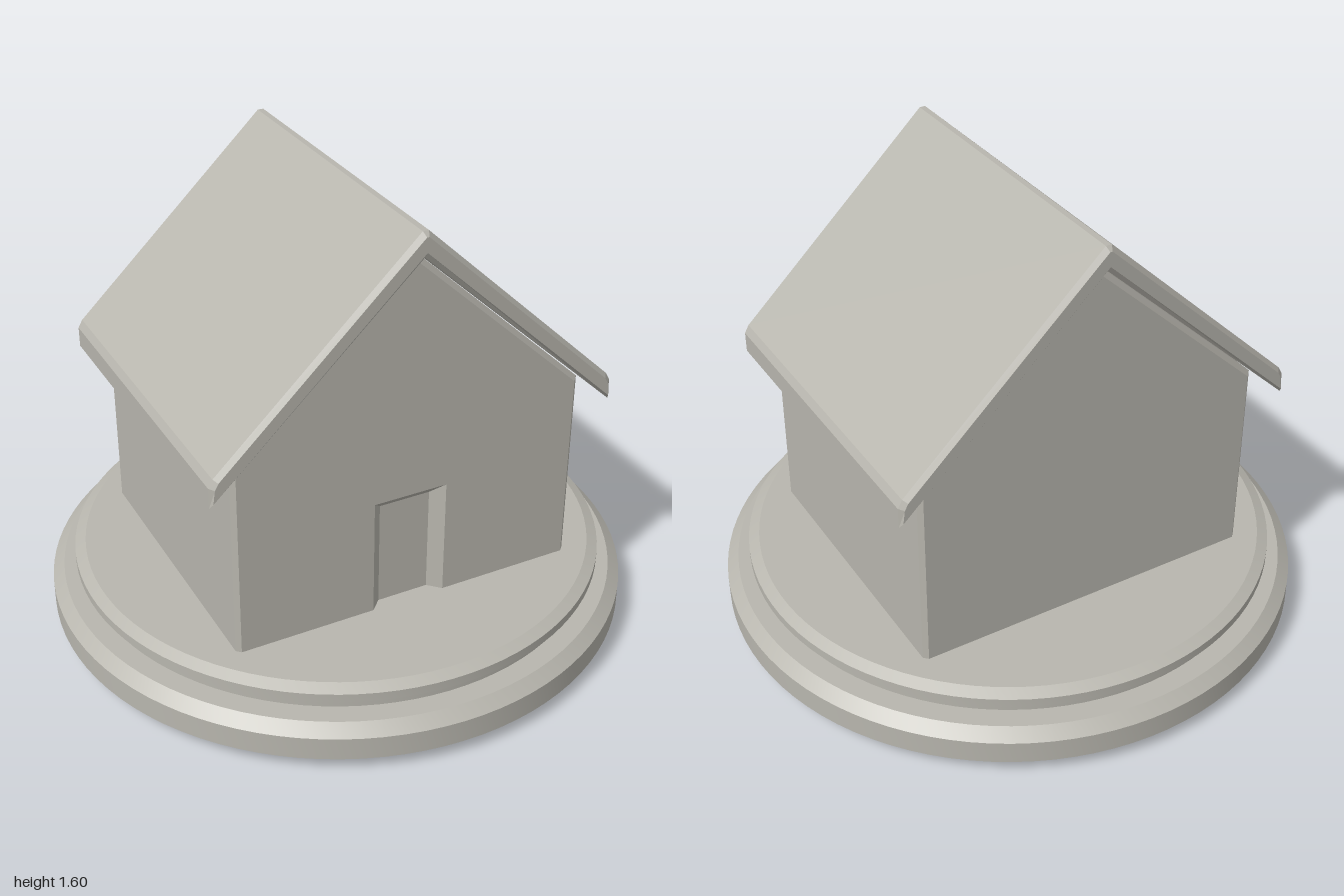
import * as THREE from 'three';
import { toCreasedNormals } from 'three/addons/utils/BufferGeometryUtils.js';

const stone = new THREE.MeshStandardMaterial({ color: 0xb8b6ae });
stone.name = 'warm grey stone';

const FLOOR = 0.25, DEPTH = 0.52, BEVEL = 0.015;

function addMesh(parent, name, geometry) {
  const mesh = new THREE.Mesh(geometry, stone);
  mesh.name = name;
  parent.add(mesh);
  return mesh;
}

function shapeOf(points) {
  return new THREE.Shape(points.map(([x, y]) => new THREE.Vector2(x, y)));
}

// Flat-faced strips joining successive outlines, each { z, points }
function loft(rings, closed) {
  const pos = [];
  for (let r = 0; r < rings.length - 1; r++) {
    const a = rings[r], b = rings[r + 1], n = a.points.length;
    for (let i = 0; i < (closed ? n : n - 1); i++) {
      const j = (i + 1) % n;
      const a0 = [...a.points[i], a.z], a1 = [...a.points[j], a.z];
      const b0 = [...b.points[i], b.z], b1 = [...b.points[j], b.z];
      pos.push(...a0, ...a1, ...b1, ...a0, ...b1, ...b0);
    }
  }
  const geometry = new THREE.BufferGeometry();
  geometry.setAttribute('position', new THREE.Float32BufferAttribute(pos, 3));
  geometry.computeVertexNormals();
  return geometry;
}

// Gabled house outline, counter-clockwise, shrunk for the chamfered edge
function gable(inset) {
  const w = 0.615 - inset, eave = 0.933 - inset * 0.7, top = 1.505 - inset * 1.6;
  return [[-w, FLOOR], [w, FLOOR], [w, eave], [0, top], [-w, eave]];
}

// Door outline, open at the floor
function doorway(halfWidth, top) {
  return [[-halfWidth, FLOOR], [-halfWidth, top], [halfWidth, top], [halfWidth, FLOOR]];
}

function buildBase() {
  const profile = [
    [0, 0], [0.94, 0], [1, 0.05], [1, 0.13], [0.96, 0.165], [0.89, 0.165],
    [0.89, 0.195], [0.917, 0.205], [0.917, 0.235], [0.88, 0.253], [0, 0.253],
  ].map(([r, y]) => new THREE.Vector2(r, y));
  return toCreasedNormals(new THREE.LatheGeometry(profile, 96), 0.3);
}

function buildHouse() {
  const house = new THREE.Group();
  house.name = 'house';
  const inner = gable(BEVEL), outer = gable(0);

  addMesh(house, 'walls', loft([
    { z: -DEPTH, points: inner }, { z: -DEPTH + BEVEL, points: outer },
    { z: DEPTH - BEVEL, points: outer }, { z: DEPTH, points: inner },
  ], true));

  const back = addMesh(house, 'backWall', new THREE.ShapeGeometry(shapeOf(inner)));
  back.rotation.y = Math.PI;
  back.position.z = -DEPTH;

  // Front wall with the doorway cut out, splayed reveal and recessed door
  const opening = doorway(0.13, 0.665), panel = doorway(0.09, 0.625);
  const front = shapeOf([inner[0], ...opening, ...inner.slice(1)]);
  addMesh(house, 'frontWall', new THREE.ShapeGeometry(front)).position.z = DEPTH;
  addMesh(house, 'doorReveal', loft([
    { z: DEPTH - 0.04, points: panel }, { z: DEPTH, points: opening },
  ], false));
  addMesh(house, 'door', new THREE.ShapeGeometry(shapeOf(panel))).position.z = DEPTH - 0.04;
  return house;
}

function buildRoof() {
  // Right half from ridge to eave, mirrored for the left
  const right = [[0.01, 1.595], [0.69, 0.952], [0.705, 0.925], [0.705, 0.855]];
  const left = right.map(([x, y]) => [-x, y]).reverse();
  const length = 1.155;
  const geometry = new THREE.ExtrudeGeometry(shapeOf([...right, [0, 1.51], ...left]), {
    depth: length - 2 * BEVEL, bevelEnabled: true, bevelSegments: 1,
    bevelThickness: BEVEL, bevelSize: BEVEL, bevelOffset: -BEVEL,
  });
  geometry.translate(0, 0, BEVEL - length / 2);
  return geometry;
}

export function createModel() {
  const model = new THREE.Group();
  model.name = 'houseOnBase';
  addMesh(model, 'roundBase', buildBase());
  model.add(buildHouse());
  addMesh(model, 'roof', buildRoof());
  return model;
}
